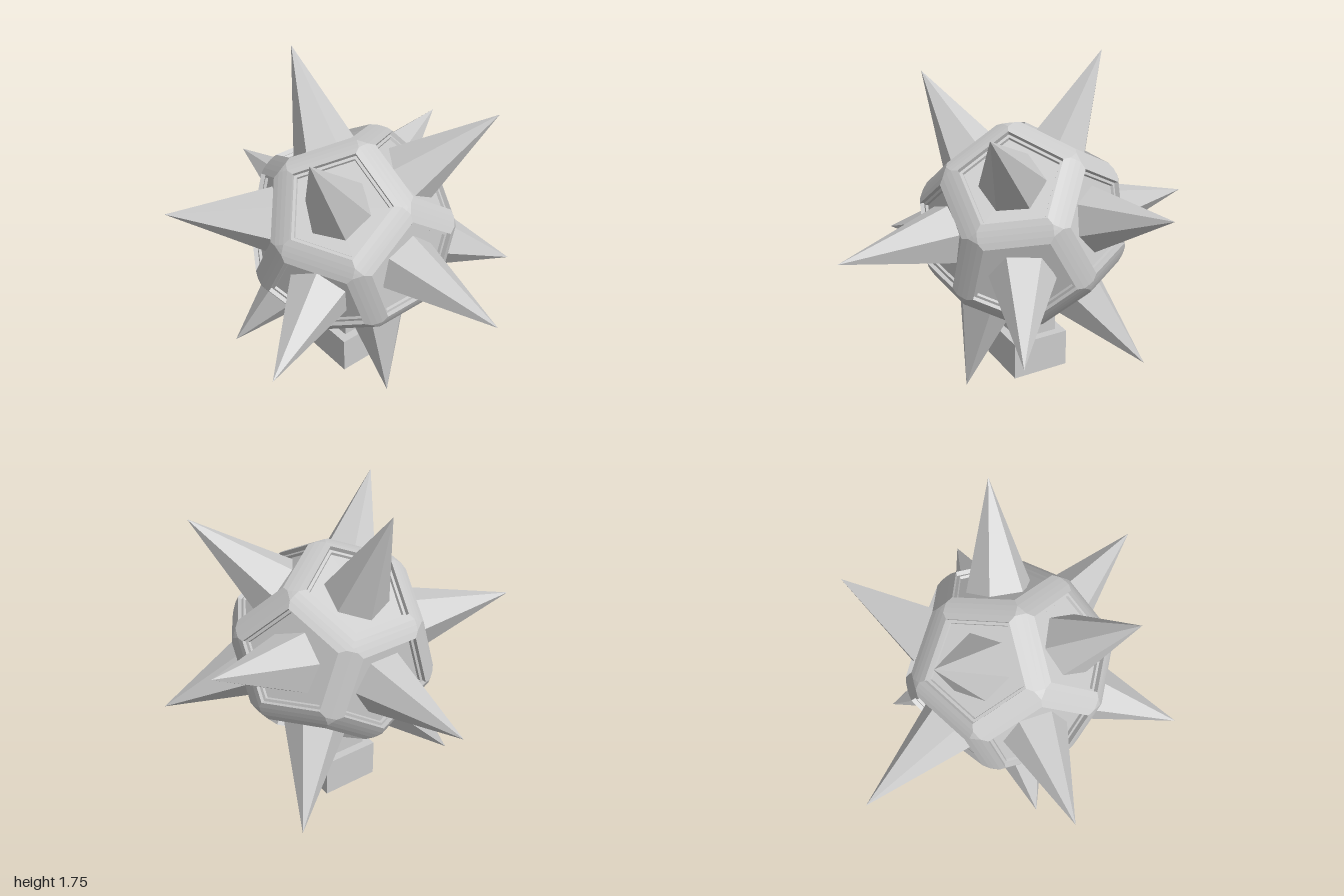
import * as THREE from 'three';

const material = new THREE.MeshStandardMaterial({ color: 0xcccccc, flatShading: true });

const EDGE = 0.417;                 // edge of the dodecahedron
const HEIGHT = 1.1135 * EDGE;       // centre to face
const APOTHEM = 0.6882 * EDGE;      // face centre to edge
const BEVEL = 0.034;                // width taken off each face edge
const CORNER_RADIUS = 0.542;        // corners are rounded to this distance
const TILT = 0.045;                 // lean of the ball about z
const C36 = Math.cos(Math.PI / 5);
const T36 = Math.tan(Math.PI / 5);

// The twelve face directions: two on the x axis, and a ring of five around each.
function faceNormals() {
  const list = [new THREE.Vector3(1, 0, 0)];
  for (let i = 0; i < 5; i++) {
    const a = Math.PI / 5 + (i * 2 * Math.PI) / 5;
    list.push(new THREE.Vector3(1, 2 * Math.cos(a), 2 * Math.sin(a)).normalize());
  }
  const zAxis = new THREE.Vector3(0, 0, 1);
  list.forEach((n) => n.applyAxisAngle(zAxis, TILT));
  return list.concat(list.map((n) => n.clone().negate()));
}

// Framed shell: bevelled edges, rounded corners and a stepped recess in each face.
function shellGeometry(normals) {
  const positions = [];
  const quad = (a, b, c, d) => {
    for (const p of [a, b, c, a, c, d]) positions.push(p.x, p.y, p.z);
  };
  // [apothem, height] from the flat rim in to the middle of the panel
  const rings = [
    [APOTHEM - BEVEL, HEIGHT], [0.215, HEIGHT], [0.212, HEIGHT - 0.022],
    [0.198, HEIGHT - 0.022], [0.195, HEIGHT - 0.036], [0, HEIGHT - 0.036],
  ];
  const midScale = 1 - (0.525 * BEVEL) / (1.309 * EDGE);
  const half = (APOTHEM - BEVEL) * T36;

  for (const n of normals) {
    const next = normals.find((m) => Math.abs(m.dot(n) - 0.447) < 0.05);
    const u = next.clone().addScaledVector(n, -next.dot(n)).normalize().negate();
    const w = n.clone().cross(u);
    const at = (r, angle, h, side = 0) => {
      const c = Math.cos(angle), s = Math.sin(angle);
      return n.clone().multiplyScalar(h)
        .addScaledVector(u, r * c - side * s)
        .addScaledVector(w, r * s + side * c)
        .clampLength(0, CORNER_RADIUS);
    };
    const step = (2 * Math.PI) / 5;
    for (let k = 0; k < 5; k++) {
      const a = k * step, b = a + step, mid = a + step / 2;
      const corner = (ring, angle) => at(ring[0] / C36, angle, ring[1]);
      const strip = (angle, side) => at(APOTHEM * midScale, angle, HEIGHT * midScale, side);
      // half of the bevel along this edge
      quad(corner(rings[0], a), strip(mid, -half), strip(mid, half), corner(rings[0], b));
      // a third of the rounded corner
      quad(corner(rings[0], a), strip(mid - step, half),
        at(APOTHEM / C36, a, HEIGHT), strip(mid, -half));
      // rim, steps and panel
      for (let i = 0; i < rings.length - 1; i++) {
        quad(corner(rings[i + 1], a), corner(rings[i], a),
          corner(rings[i], b), corner(rings[i + 1], b));
      }
    }
  }
  const geometry = new THREE.BufferGeometry();
  geometry.setAttribute('position', new THREE.Float32BufferAttribute(positions, 3));
  geometry.computeVertexNormals();
  return geometry;
}

// Six-sided spike standing on a face, leaning to its own tip and turned about its axis.
function makeSpike(base, tip, twist) {
  const axis = tip.clone().sub(base);
  const geometry = new THREE.ConeGeometry(0.165, axis.length(), 6);
  geometry.translate(0, axis.length() / 2, 0);
  geometry.rotateY(twist);
  const spike = new THREE.Mesh(geometry, material);
  spike.quaternion.setFromUnitVectors(new THREE.Vector3(0, 1, 0), axis.normalize());
  spike.position.copy(base);
  spike.name = 'spike';
  return spike;
}

export function createModel() {
  const model = new THREE.Group();
  model.name = 'spikedBall';
  const centre = new THREE.Vector3(0.005, 0.903, 0.018);
  const normals = faceNormals();

  const shell = new THREE.Mesh(shellGeometry(normals), material);
  shell.position.copy(centre);
  shell.name = 'framedShell';
  model.add(shell);

  // Slightly irregular spikes: tip x, y, z and twist
  const spikeList = [
    [1, 0.9, -0.01, 0.4], [-1, 0.9, 0.01, 0],
    [-0.45, 1.75, 0.02, 0.4], [0.34, 0, 0.04, 0],
    [0.33, 1.63, 0.505, 0], [-0.45, 0.19, -0.48, 0],
    [0.45, 1.56, -0.52, 0], [-0.34, 0.19, 0.56, 0],
    [-0.42, 1.12, 0.83, 0], [0.42, 0.57, -0.76, 0],
    [0.435, 0.66, 0.83, 0.4], [-0.3, 1.16, -0.835, 0],
  ];
  const spikes = new THREE.Group();
  spikes.name = 'spikes';
  for (const [x, y, z, twist] of spikeList) {
    const tip = new THREE.Vector3(x, y, z);
    const out = tip.clone().sub(centre);
    const n = normals.reduce((best, m) => (m.dot(out) > best.dot(out) ? m : best));
    spikes.add(makeSpike(centre.clone().addScaledVector(n, HEIGHT - 0.04), tip, twist));
  }
  model.add(spikes);

  // Square mount below the ball
  const addBlock = (name, width, bottom, top) => {
    const block = new THREE.Mesh(new THREE.BoxGeometry(width, top - bottom, width), material);
    block.position.set(-0.02, (bottom + top) / 2, 0.018);
    block.name = name;
    model.add(block);
  };
  addBlock('mountBase', 0.314, 0.08, 0.286);
  addBlock('mountNeck', 0.225, 0.286, 0.52);

  return model;
}
